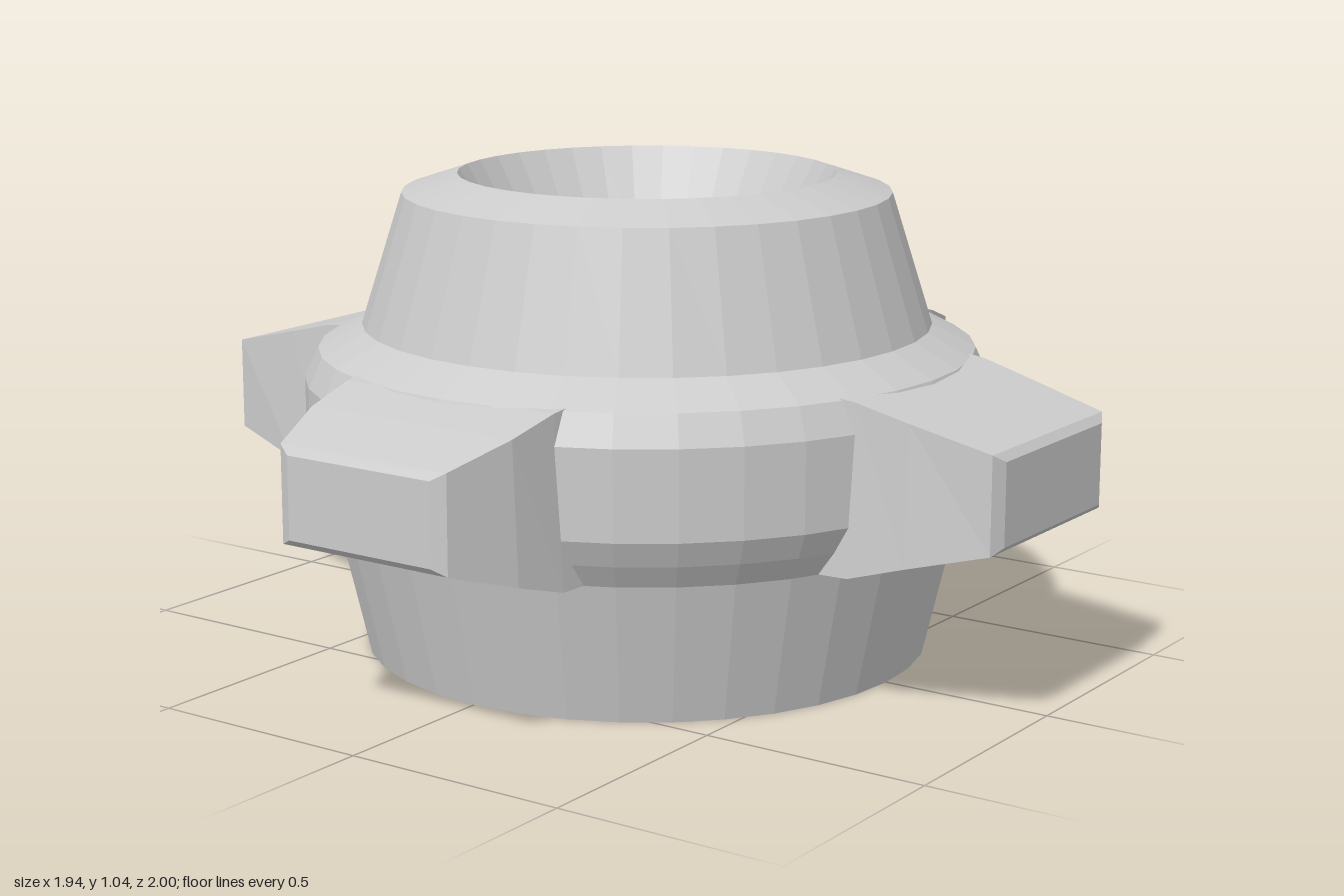
import * as THREE from 'three';

const material = new THREE.MeshStandardMaterial({ color: 0xcccccc, flatShading: true });

// Lofts four-sided sections [reach, halfWidthLow, halfWidthHigh, yLow, yHigh] along +z, closed at both ends
function loftArm(sections) {
  const positions = [];
  const index = [];
  for (const [z, wLo, wHi, lo, hi] of sections) {
    positions.push(-wLo, lo, z, wLo, lo, z, wHi, hi, z, -wHi, hi, z);
  }
  for (let s = 0; s < sections.length - 1; s++) {
    for (let k = 0; k < 4; k++) {
      const a = s * 4 + k;
      const b = s * 4 + (k + 1) % 4;
      index.push(a, b, b + 4, a, b + 4, a + 4);
    }
  }
  const e = (sections.length - 1) * 4;
  index.push(e, e + 1, e + 2, e, e + 2, e + 3, 0, 2, 1, 0, 3, 2);
  const geometry = new THREE.BufferGeometry();
  geometry.setAttribute('position', new THREE.Float32BufferAttribute(positions, 3));
  geometry.setIndex(index);
  geometry.computeVertexNormals();
  return geometry;
}

export function createModel() {
  const model = new THREE.Group();
  model.name = 'hub';

  // Turned body: recessed underside, flared base, bulging belt, tapered collar and top bowl
  const profile = [
    [0, 0.26], [0.15, 0.26], [0.285, 0.12], [0.41, 0.145], [0.53, 0.12], [0.62, 0],
    [0.69, 0.305], [0.72, 0.355], [0.745, 0.41], [0.745, 0.6], [0.715, 0.665], [0.62, 0.715],
    [0.53, 1.0], [0.41, 1.04],
    [0.28, 0.82], [0.21, 0.74], [0.145, 0.68], [0, 0.68],
  ].map(([r, y]) => new THREE.Vector2(r, y));
  const body = new THREE.Mesh(new THREE.LatheGeometry(profile, 36), material);
  body.name = 'body';
  model.add(body);

  // Four tapered arms; the side pair is slightly shorter and narrower at the tip
  const arms = [
    ['frontArm', 0, 1, 0.235], ['leftArm', Math.PI / 2, 0.97, 0.21],
    ['backArm', Math.PI, 1, 0.235], ['rightArm', -Math.PI / 2, 0.97, 0.21],
  ];
  for (const [name, angle, reach, tip] of arms) {
    const arm = new THREE.Mesh(loftArm([
      [0.6, 0.288, 0.268, 0.305, 0.675],
      [0.69, 0.285, 0.265, 0.306, 0.665],
      [0.81, 0.268, 0.255, 0.341, 0.635],
      [reach - 0.015, tip, tip, 0.387, 0.592],
      [reach, tip - 0.03, tip - 0.03, 0.402, 0.575],
    ]), material);
    arm.name = name;
    arm.rotation.y = angle;
    model.add(arm);
  }
  return model;
}
